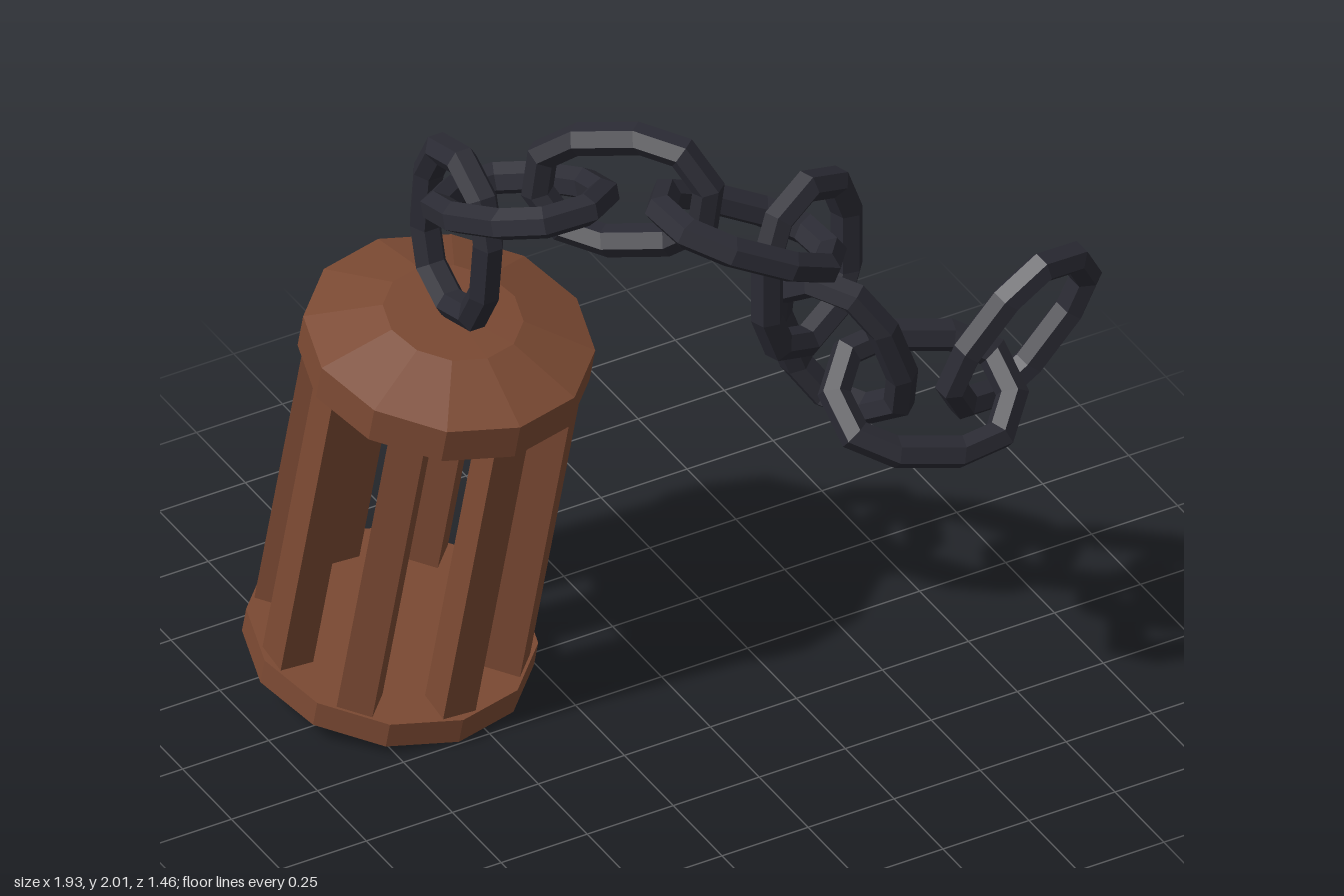
import * as THREE from 'three';

const wood = new THREE.MeshStandardMaterial({ color: 0x7c4a33, flatShading: true });
wood.name = 'brown wood';
const iron = new THREE.MeshStandardMaterial({ color: 0x2b2b34, flatShading: true });
iron.name = 'dark iron';

function add(parent, name, geometry, material, y = 0) {
  const mesh = new THREE.Mesh(geometry, material);
  mesh.name = name;
  mesh.position.y = y;
  parent.add(mesh);
  return mesh;
}

// Faceted oval ring: long axis on x, short axis on y
function linkGeometry(radius = 0.153, halfStraight = 0.087, tube = 0.043, steps = 4, sides = 6) {
  const pos = [], index = [], rings = 2 * (steps + 1);
  for (let i = 0; i < rings; i++) {
    const end = i <= steps ? 1 : -1;
    const k = i <= steps ? i : i - 1;
    const a = -Math.PI / 2 + (k / steps) * Math.PI;
    for (let j = 0; j < sides; j++) {
      const p = ((j + 0.5) / sides) * Math.PI * 2;
      const r = radius + tube * Math.cos(p);
      pos.push(end * halfStraight + r * Math.cos(a), r * Math.sin(a), tube * Math.sin(p));
      const i2 = (i + 1) % rings, j2 = (j + 1) % sides;
      const A = i * sides + j, B = i2 * sides + j, C = i2 * sides + j2, D = i * sides + j2;
      index.push(A, B, C, A, C, D);
    }
  }
  const g = new THREE.BufferGeometry();
  g.setAttribute('position', new THREE.Float32BufferAttribute(pos, 3));
  g.setIndex(index);
  const flat = g.toNonIndexed();
  flat.computeVertexNormals();
  return flat;
}

// Chain links: centre, long direction, short direction
const LINKS = [
  [[-0.515, 1.478, -0.143], [0, 1, 0.12], [0, -0.12, 1]],
  [[-0.44, 1.67, 0.05], [0.3, 0.33, 0.9], [0.95, -0.1, -0.28]],
  [[-0.28, 1.80, 0.295], [0.61, 0.26, 0.74], [-0.17, 0.96, -0.2]],
  [[-0.05, 1.73, 0.52], [0.87, -0.41, 0.28], [-0.26, 0.12, 0.96]],
  [[0.155, 1.525, 0.47], [0, 1, 0], [0.94, 0, -0.33]],
  [[0.255, 1.23, 0.46], [0.33, -0.93, 0], [0.54, 0.19, 0.82]],
  [[0.46, 1.05, 0.53], [0.95, -0.2, 0.22], [-0.3, -0.64, 0.7]],
  [[0.725, 1.165, 0.55], [0.6, 0.77, 0.096], [0.76, -0.6, -0.32]],
];

export function createModel() {
  const model = new THREE.Group();
  model.name = 'cageLanternOnChain';

  // Tilted cage, its own origin at the centre of the underside
  const cage = new THREE.Group();
  cage.name = 'cage';
  cage.position.set(-0.585, 0.067, -0.37);
  const axis = new THREE.Vector3(0.067, 0.97, 0.167).normalize();
  cage.quaternion.setFromUnitVectors(new THREE.Vector3(0, 1, 0), axis);
  model.add(cage);

  const R = 0.373, SIDES = 12, baseH = 0.075, lidY = 0.985, lidH = 0.1, capH = 0.07;
  add(cage, 'base', new THREE.CylinderGeometry(R, R, baseH, SIDES), wood, baseH / 2);

  // Lid: rim with a sloped, flat-topped cap, closed underneath
  const profile = [[0, 0], [R, 0], [R, lidH], [0.18, lidH + capH], [0, lidH + capH + 0.004]];
  add(cage, 'lid', new THREE.LatheGeometry(profile.map(p => new THREE.Vector2(...p)), SIDES), wood, lidY);

  // Eight square bars
  const barH = lidY - baseH + 0.02;
  const barGeometry = new THREE.BoxGeometry(0.095, barH, 0.095);
  for (let i = 0; i < 8; i++) {
    const a = (i / 8) * Math.PI * 2;
    const bar = add(cage, 'bar', barGeometry, wood, (lidY + baseH) / 2);
    bar.position.x = 0.305 * Math.sin(a);
    bar.position.z = 0.305 * Math.cos(a);
    bar.rotation.y = a;
  }

  // Chain
  const chain = new THREE.Group();
  chain.name = 'chain';
  model.add(chain);
  const link = linkGeometry();
  for (const [centre, long, short] of LINKS) {
    const x = new THREE.Vector3(...long).normalize();
    const z = new THREE.Vector3().crossVectors(x, new THREE.Vector3(...short)).normalize();
    const y = new THREE.Vector3().crossVectors(z, x);
    const mesh = add(chain, 'chainLink', link, iron);
    mesh.position.set(...centre);
    mesh.quaternion.setFromRotationMatrix(new THREE.Matrix4().makeBasis(x, y, z));
  }
  return model;
}
